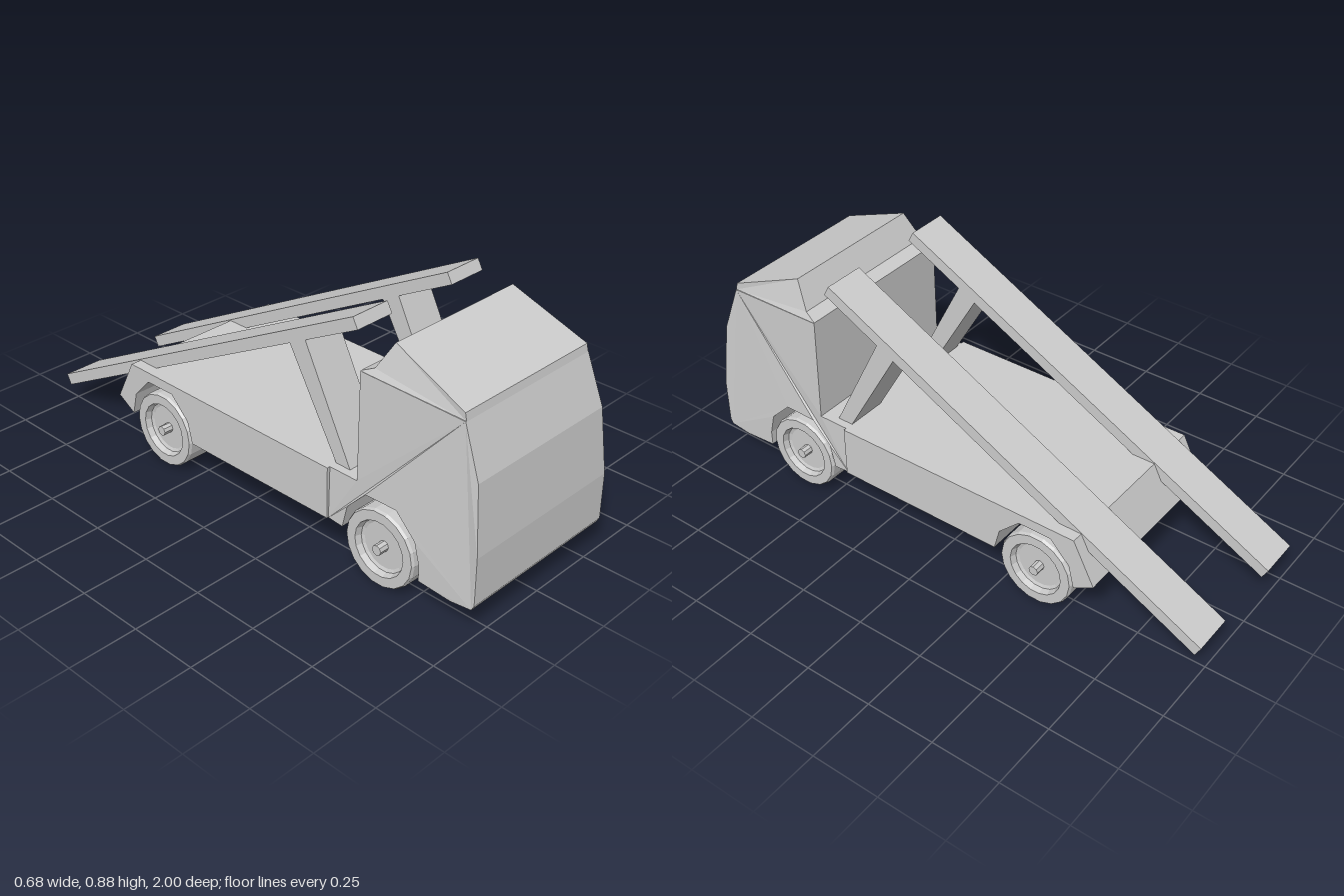
import * as THREE from 'three';

const flat = new THREE.MeshStandardMaterial({ color: 0xcccccc, flatShading: true });

// Extrude a side profile of [z, y] points across x, centred on x = 0
function slab(points, width) {
  const shape = new THREE.Shape(points.map(([z, y]) => new THREE.Vector2(z, y)));
  const geo = new THREE.ExtrudeGeometry(shape, { depth: width, bevelEnabled: false });
  return geo.translate(0, 0, -width / 2).rotateY(-Math.PI / 2);
}

// Set the half width of a slab by a rule of z and y
function shapeWidth(geo, rule) {
  const p = geo.attributes.position;
  for (let i = 0; i < p.count; i++) {
    p.setX(i, Math.sign(p.getX(i)) * rule(p.getZ(i), p.getY(i)));
  }
  geo.computeVertexNormals();
  return geo;
}

// Linear interpolation through [key, value] stops
function ramp(stops, t) {
  if (t <= stops[0][0]) return stops[0][1];
  for (let i = 1; i < stops.length; i++) {
    const [a, va] = stops[i - 1], [b, vb] = stops[i];
    if (t <= b) return va + ((vb - va) * (t - a)) / (b - a);
  }
  return stops[stops.length - 1][1];
}

// Angular wheel arch around a wheel centre, front to back
const arch = (z) => [
  [z + 0.16, 0.155], [z + 0.14, 0.235], [z + 0.062, 0.312],
  [z - 0.062, 0.312], [z - 0.135, 0.235], [z - 0.155, 0.15],
];

function makeWheel() {
  const wheel = new THREE.Group();
  // Tyre and sunken rim, outer side along +y before turning
  const profile = [
    [0, -0.07], [0.135, -0.07], [0.14, -0.06], [0.14, 0.062], [0.135, 0.072],
    [0.1, 0.072], [0.093, 0.05], [0.082, 0.045], [0, 0.045],
  ].map(([r, h]) => new THREE.Vector2(r, h));
  const tyre = new THREE.Mesh(new THREE.LatheGeometry(profile, 18), flat);
  tyre.name = 'tyreAndRim';
  const hub = new THREE.Mesh(new THREE.CylinderGeometry(0.018, 0.018, 0.04, 8), flat);
  hub.position.y = 0.062;
  hub.name = 'hub';
  wheel.add(tyre, hub);
  return wheel;
}

export function createModel() {
  const model = new THREE.Group();
  const add = (name, geo) => {
    const mesh = new THREE.Mesh(geo, flat);
    mesh.name = name;
    model.add(mesh);
    return mesh;
  };
  const frontAxle = 0.625, rearAxle = -0.395;

  // Cab, with wheel arches and the step behind it
  const frontWidth = [[0.29, 0.322], [0.38, 0.31], [0.53, 0.306], [0.73, 0.295]];
  const rearWidth = [[0.29, 0.328], [0.38, 0.32], [0.73, 0.317]];
  add('cab', shapeWidth(slab([
    [0.99, 0.1], [1, 0.12], [1, 0.29], [0.975, 0.53], [0.91, 0.73], [0.91, 0.706],
    [0.525, 0.728], [0.525, 0.345], [0.41, 0.345], [0.41, 0.155],
    ...arch(frontAxle).reverse(), [0.785, 0.1], [0.91, 0.09],
  ].filter(([z, y]) => !(z === 0.91 && y === 0.73)), 1), (z, y) => {
    const t = THREE.MathUtils.clamp((z - 0.525) / 0.4, 0, 1);
    return THREE.MathUtils.lerp(ramp(rearWidth, y), ramp(frontWidth, y), t);
  }));

  // Raised wind deflector forming the roof
  add('roofDeflector', shapeWidth(slab([
    [0.911, 0.705], [0.905, 0.732], [0.625, 0.845], [0.57, 0.75], [0.525, 0.73], [0.525, 0.726],
  ], 1), (z, y) => (y > 0.8 ? 0.276 : z > 0.7 ? 0.294 : z > 0.55 ? 0.303 : 0.316)));

  // Flat bed with rear wheel arches and a sloped tail
  add('bed', slab([
    [0.41, 0.345], [-0.545, 0.35], [-0.625, 0.195],
    ...arch(rearAxle).reverse(), [0.41, 0.156],
  ], 0.67));

  for (const side of [1, -1]) {
    const name = side > 0 ? 'left' : 'right';
    // Sloping loading ramp
    add(name + 'Ramp', slab([
      [0.47, 0.88], [0.49, 0.843], [-0.98, 0.08], [-1, 0.118],
    ], 0.153)).position.x = side * 0.217;
    // Leaning post under the ramp
    add(name + 'RampPost', slab([
      [0.47, 0.342], [0.41, 0.342], [0.2, 0.705], [0.268, 0.74],
    ], 0.153)).position.x = side * 0.217;
    // Wheels
    for (const [end, z] of [['Front', frontAxle], ['Rear', rearAxle]]) {
      const wheel = makeWheel();
      wheel.name = name + end + 'Wheel';
      wheel.rotation.z = -side * Math.PI / 2;
      wheel.position.set(side * 0.256, 0.14, z);
      model.add(wheel);
    }
  }
  return model;
}
